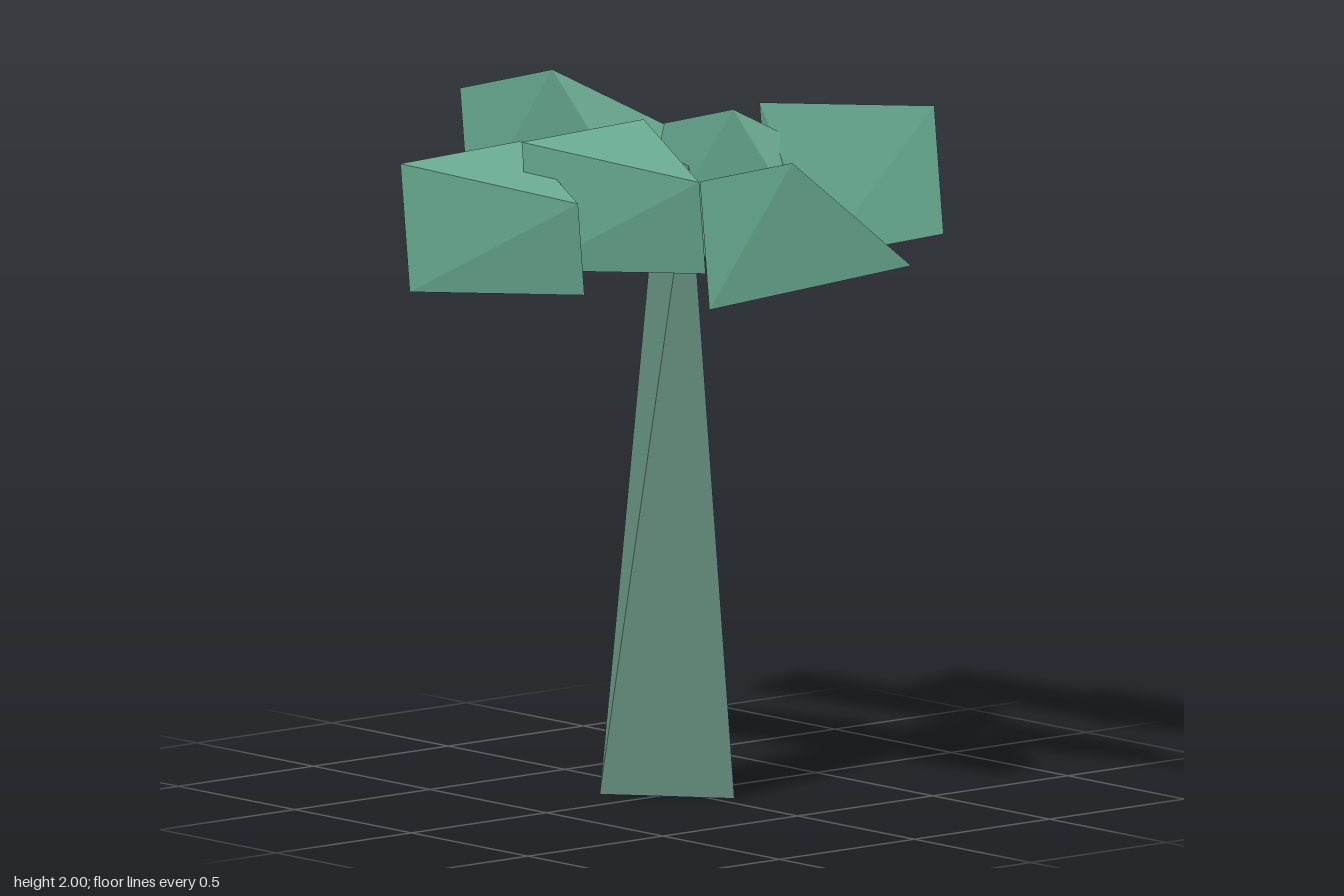
import * as THREE from 'three';
import { ConvexGeometry } from 'three/addons/geometries/ConvexGeometry.js';

const leafMaterial = new THREE.MeshStandardMaterial({ color: 0x66a88e, flatShading: true });
const trunkMaterial = new THREE.MeshStandardMaterial({ color: 0x618c7b, flatShading: true });

// Faceted solid spanned by a few corner points
function solid(name, points, material) {
  const mesh = new THREE.Mesh(new ConvexGeometry(points.map((p) => new THREE.Vector3(...p))), material);
  mesh.name = name;
  return mesh;
}

// Thin leaf clump: left, peak, right, lower right, lower left
const CLUMP = [
  [-0.41, 0.12, 0],
  [0.05, 0.24, -0.055],
  [0.41, 0.12, 0.05],
  [0.38, -0.15, 0],
  [-0.37, -0.24, 0],
];

// turn = -1 turns the clump upside down, flip = -1 mirrors it front to back
function leafClump(name, [cx, cy, cz], flip = 1, turn = 1) {
  const points = CLUMP.map(([x, y, z]) => [cx + turn * x, cy + turn * y, cz + flip * z]);
  return solid(name, points, leafMaterial);
}

export function createModel() {
  const tree = new THREE.Group();
  tree.name = 'tree';

  // Three-sided trunk narrowing to a ridge
  tree.add(solid('trunk', [
    [-0.15, 0, -0.18], [-0.13, 0, 0.19], [0.17, 0, -0.05],
    [-0.14, 1.8, -0.04], [0.08, 1.8, 0.04],
  ], trunkMaterial));

  // Foliage in three rows
  tree.add(
    leafClump('frontRightLeaves', [-0.28, 1.63, 0.445]),
    leafClump('frontLeftLeaves', [0.24, 1.76, 0.445]),
    leafClump('middleRightLeaves', [-0.54, 1.76, 0], -1),
    leafClump('backRightLeaves', [-0.28, 1.63, -0.445], -1),
    leafClump('backLeftLeaves', [0.2, 1.74, -0.445], -1, -1),
  );

  // Pointed clump, its right end drawn to a single tip
  tree.add(solid('middleLeftLeaves', [
    [0.08, 1.75, 0], [0.54, 1.87, 0.055], [0.94, 1.62, -0.04], [0.12, 1.39, 0],
  ], leafMaterial));

  return tree;
}
